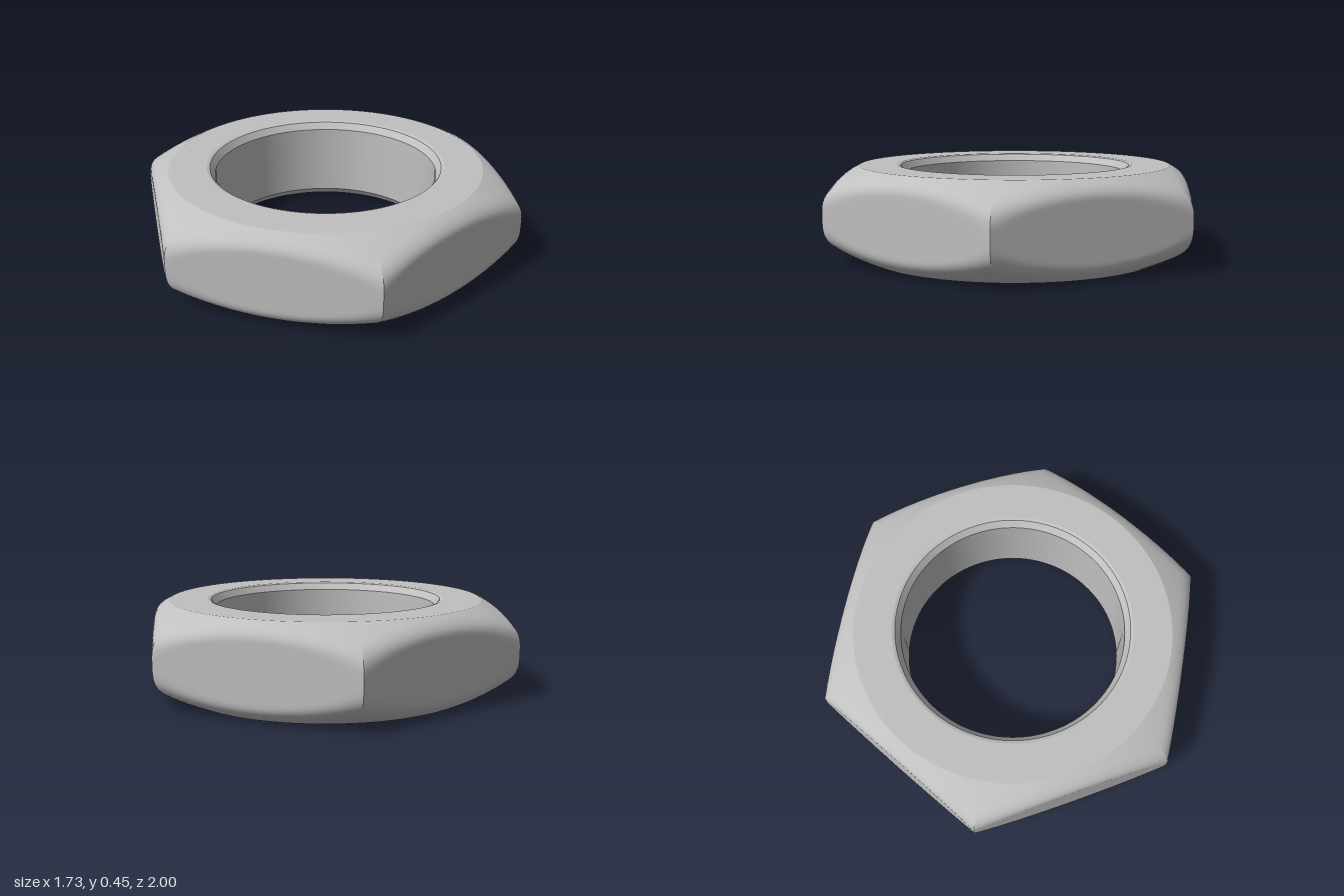
import * as THREE from 'three';
import { toCreasedNormals } from 'three/addons/utils/BufferGeometryUtils.js';

const HEIGHT = 0.45, FLAT = 0.866, HOLE = 0.56, RIM = 0.6;

// Blends two radii so that the chamfer flows softly into the flats
function smoothMin(a, b, k) {
  const h = Math.max(k - Math.abs(a - b), 0) / k;
  return Math.min(a, b) - h * h * k / 4;
}

// Radius of the turned chamfer at height y
function chamferRadius(y) {
  const u = Math.abs(y / (HEIGHT / 2) - 1);
  return 0.79 + 0.29 * (1 - Math.pow(u, 1.7));
}

// One sixth of the nut: bottom face, side flat with chamfers, top face
function sectorGeometry() {
  const across = 36, rows = 44, positions = [], indices = [];
  const profile = [[RIM, 0], [0.7, 0], [0.765, 0]];
  for (let j = 0; j <= rows; j++) {
    profile.push([null, HEIGHT / 2 * (1 - Math.cos(Math.PI * j / rows))]);
  }
  profile.push([0.765, HEIGHT], [0.7, HEIGHT], [RIM, HEIGHT]);
  const n = profile.length;
  for (let i = 0; i <= across; i++) {
    const angle = (i / across - 0.5) * Math.PI / 3;
    const hex = FLAT / Math.cos(angle);
    for (const [fixed, y] of profile) {
      const r = fixed ?? smoothMin(chamferRadius(y), hex, 0.08);
      positions.push(r * Math.cos(angle), y, r * Math.sin(angle));
    }
  }
  for (let i = 0; i < across; i++) {
    for (let j = 0; j < n - 1; j++) {
      const a = i * n + j, b = a + n;
      indices.push(a, a + 1, b, a + 1, b + 1, b);
    }
  }
  const geometry = new THREE.BufferGeometry();
  geometry.setAttribute('position', new THREE.Float32BufferAttribute(positions, 3));
  geometry.setIndex(indices);
  geometry.computeVertexNormals();
  return geometry;
}

export function createModel() {
  const steel = new THREE.MeshStandardMaterial({ color: 0xc0c0c0 });
  steel.name = 'steel grey';
  const nut = new THREE.Group();
  nut.name = 'hexNut';

  // Six identical sides
  const sector = sectorGeometry();
  for (let k = 0; k < 6; k++) {
    const side = new THREE.Mesh(sector, steel);
    side.name = 'hexSide' + (k + 1);
    side.rotation.y = k * Math.PI / 3;
    nut.add(side);
  }

  // Bore with a bevelled rim at each end
  const bore = [[RIM, HEIGHT], [0.585, 0.445], [HOLE, 0.41], [HOLE, 0.04], [0.585, 0.005], [RIM, 0]];
  const boreGeometry = new THREE.LatheGeometry(bore.map(([r, y]) => new THREE.Vector2(r, y)), 216);
  const hole = new THREE.Mesh(toCreasedNormals(boreGeometry, 0.6), steel);
  hole.name = 'bore';
  nut.add(hole);
  return nut;
}
